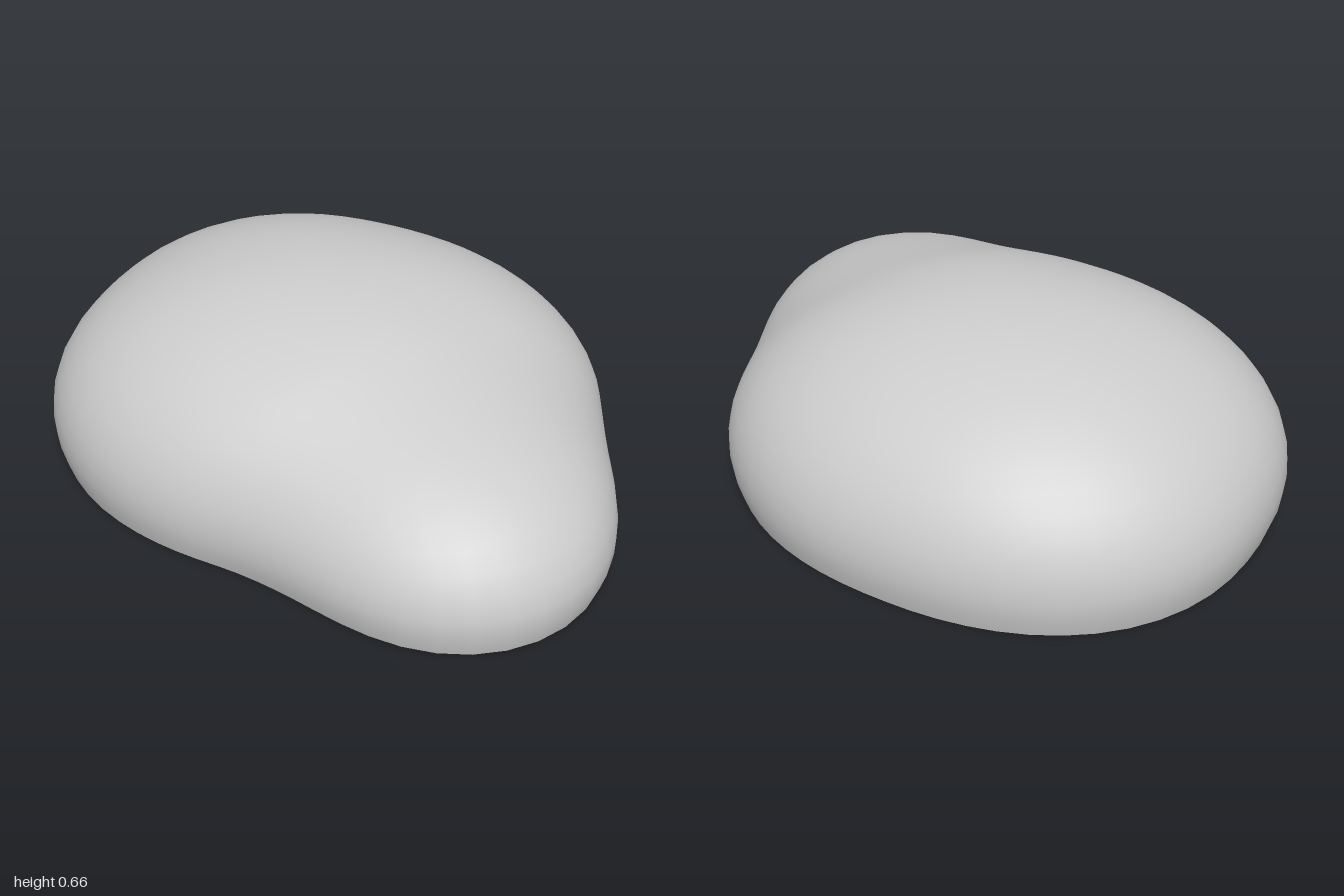
import * as THREE from 'three';

// Two soft ellipsoids: the broad dome and the low lobe at its front left
const dome = { c: [-0.1, 0.13, -0.042], r: [0.9, 0.53, 0.778], n: 2.25 };
const lobe = { c: [0.545, 0.1, 0.36], r: [0.452, 0.315, 0.452], n: 2 };

function distance(p, { c, r, n }) {
  const [u, v, w] = p.map((value, i) => Math.abs((value - c[i]) / r[i]));
  const ring = Math.pow(Math.pow(u, n) + Math.pow(w, n), 1 / n);
  return (Math.hypot(ring, v) - 1) * Math.min(r[0], r[2]);
}

// Smooth union of both forms
function field(p) {
  const a = distance(p, dome), b = distance(p, lobe), k = 0.32;
  const h = Math.max(k - Math.abs(a - b), 0) / k;
  return Math.min(a, b) - h * h * k * 0.25;
}

// Point where a ray from the middle of the open base leaves the form
function surfacePoint(around, up) {
  const d = [Math.cos(around) * Math.cos(up), Math.sin(up), Math.sin(around) * Math.cos(up)];
  const at = (t) => [0.03 + d[0] * t, d[1] * t, 0.03 + d[2] * t];
  let near = 0, far = 1.6;
  for (let i = 0; i < 32; i++) {
    const mid = (near + far) / 2;
    if (field(at(mid)) < 0) near = mid; else far = mid;
  }
  return at(near);
}

function shellGeometry(sides = 64, rows = 24) {
  const positions = [], index = [];
  for (let i = 0; i < rows; i++) {
    for (let j = 0; j < sides; j++) {
      positions.push(...surfacePoint((j / sides) * Math.PI * 2, (i / rows) * Math.PI / 2));
    }
  }
  const top = rows * sides;
  positions.push(...surfacePoint(0, Math.PI / 2));
  for (let i = 0; i < rows; i++) {
    for (let j = 0; j < sides; j++) {
      const next = (j + 1) % sides;
      const a = i * sides + j, b = i * sides + next;
      if (i === rows - 1) index.push(a, top, b);
      else index.push(a, a + sides, b, b, a + sides, b + sides);
    }
  }
  const geometry = new THREE.BufferGeometry();
  geometry.setAttribute('position', new THREE.Float32BufferAttribute(positions, 3));
  geometry.setIndex(index);
  geometry.computeVertexNormals();
  return geometry;
}

export function createModel() {
  const group = new THREE.Group();
  group.name = 'roundedShell';

  const grey = new THREE.MeshStandardMaterial({ color: 0xcccccc, side: THREE.DoubleSide });
  grey.name = 'light grey';

  // Hollow shell, open underneath
  const shell = new THREE.Mesh(shellGeometry(), grey);
  shell.name = 'shell';
  group.add(shell);
  return group;
}
